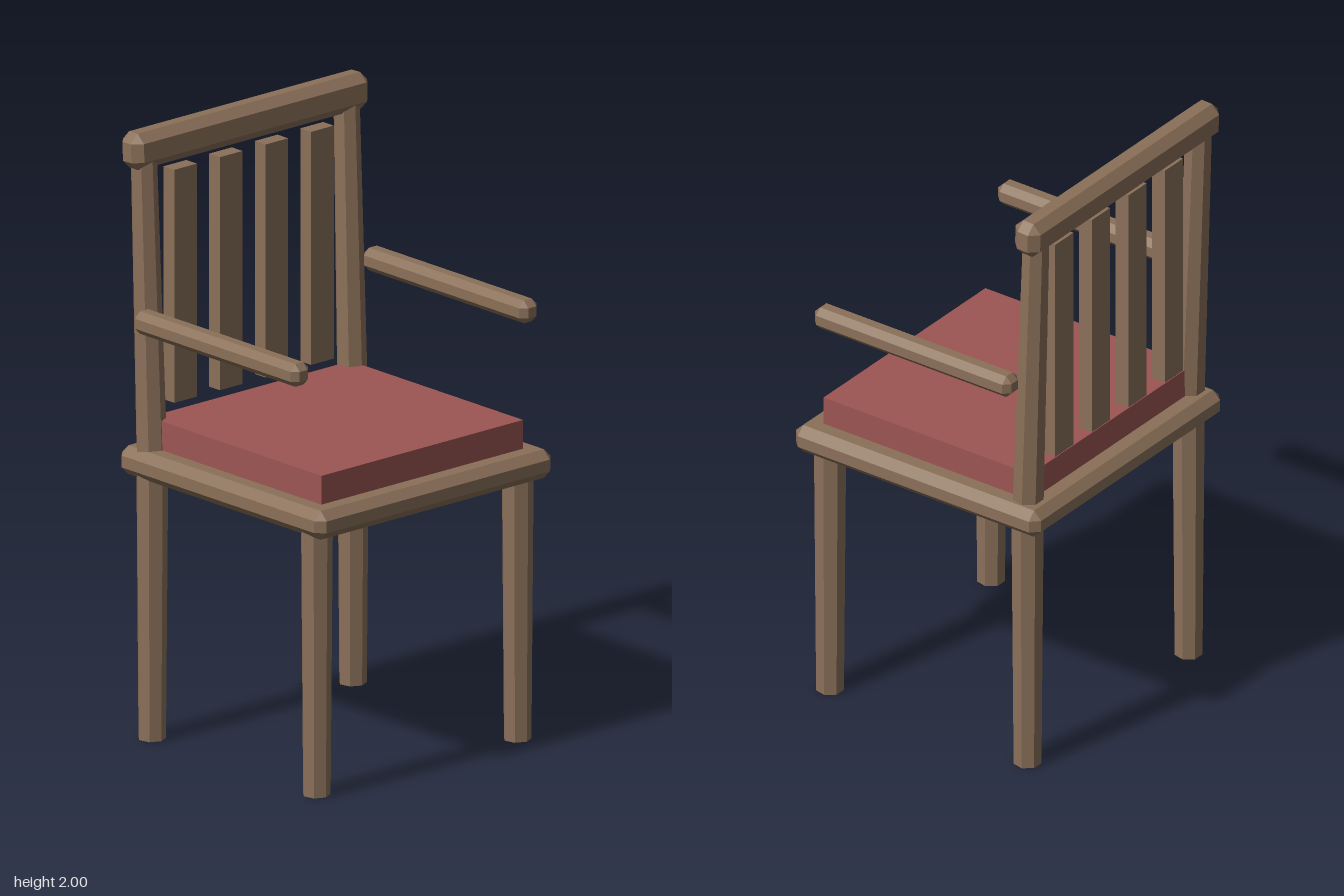
import * as THREE from 'three';
import { ConvexGeometry } from 'three/addons/geometries/ConvexGeometry.js';

const wood = new THREE.MeshStandardMaterial({ color: 0x8b7059, flatShading: true });
wood.name = 'wood';
const fabric = new THREE.MeshStandardMaterial({ color: 0x9c5553, flatShading: true });
fabric.name = 'cushion fabric';

// Box with every edge and corner cut back by c
function chamferBox(w, h, d, c) {
  const half = [w / 2, h / 2, d / 2];
  const points = [];
  for (const sx of [-1, 1]) for (const sy of [-1, 1]) for (const sz of [-1, 1]) {
    const signs = [sx, sy, sz];
    for (let full = 0; full < 3; full++) {
      points.push(new THREE.Vector3(...half.map((v, i) => signs[i] * (i === full ? v : v - c))));
    }
  }
  return new ConvexGeometry(points);
}

// Tapered round post running between two points
function post(from, to, r0, r1) {
  const a = new THREE.Vector3(...from), b = new THREE.Vector3(...to);
  const dir = b.clone().sub(a);
  const geometry = new THREE.CylinderGeometry(r1, r0, dir.length(), 7);
  geometry.applyQuaternion(new THREE.Quaternion().setFromUnitVectors(new THREE.Vector3(0, 1, 0), dir.normalize()));
  const mid = a.add(b).multiplyScalar(0.5);
  return geometry.translate(mid.x, mid.y, mid.z);
}

export function createModel() {
  const chair = new THREE.Group();
  chair.name = 'armchair';

  function add(name, geometry, material, x = 0, y = 0, z = 0) {
    const mesh = new THREE.Mesh(geometry, material);
    mesh.name = name;
    mesh.position.set(x, y, z);
    chair.add(mesh);
    return mesh;
  }

  // Seat and cushion
  add('seat', chamferBox(1, 0.095, 0.96, 0.028), wood, 0, 0.9125, 0);
  add('cushion', new THREE.BoxGeometry(0.854, 0.1, 0.81), fabric, 0, 1.005, 0);

  // Legs, back posts and armrests on each side
  for (const [side, x] of [['left', 0.418], ['right', -0.432]]) {
    add(side + 'FrontLeg', post([x, 0, 0.387], [x, 0.88, 0.387], 0.045, 0.052), wood);
    add(side + 'BackLeg', post([x, 0, -0.386], [x, 0.88, -0.386], 0.045, 0.052), wood);
    add(side + 'BackPost', post([x, 0.94, -0.388], [x + (x > 0 ? 0.008 : 0), 1.91, -0.425], 0.05, 0.043), wood);
    add(side + 'Armrest', chamferBox(0.075, 0.075, 0.77, 0.021), wood, Math.sign(x) * 0.484, 1.393, 0);
  }

  // Back slats
  for (let i = 0; i < 4; i++) {
    add('backSlat', new THREE.BoxGeometry(0.096, 0.77, 0.05), wood, (i - 1.5) * 0.193, 1.472, -0.41);
  }

  // Top rail, leaning back with the posts
  const rail = add('topRail', chamferBox(1, 0.12, 0.098, 0.029), wood, 0, 1.939, -0.427);
  rail.rotation.x = -0.04;

  return chair;
}
